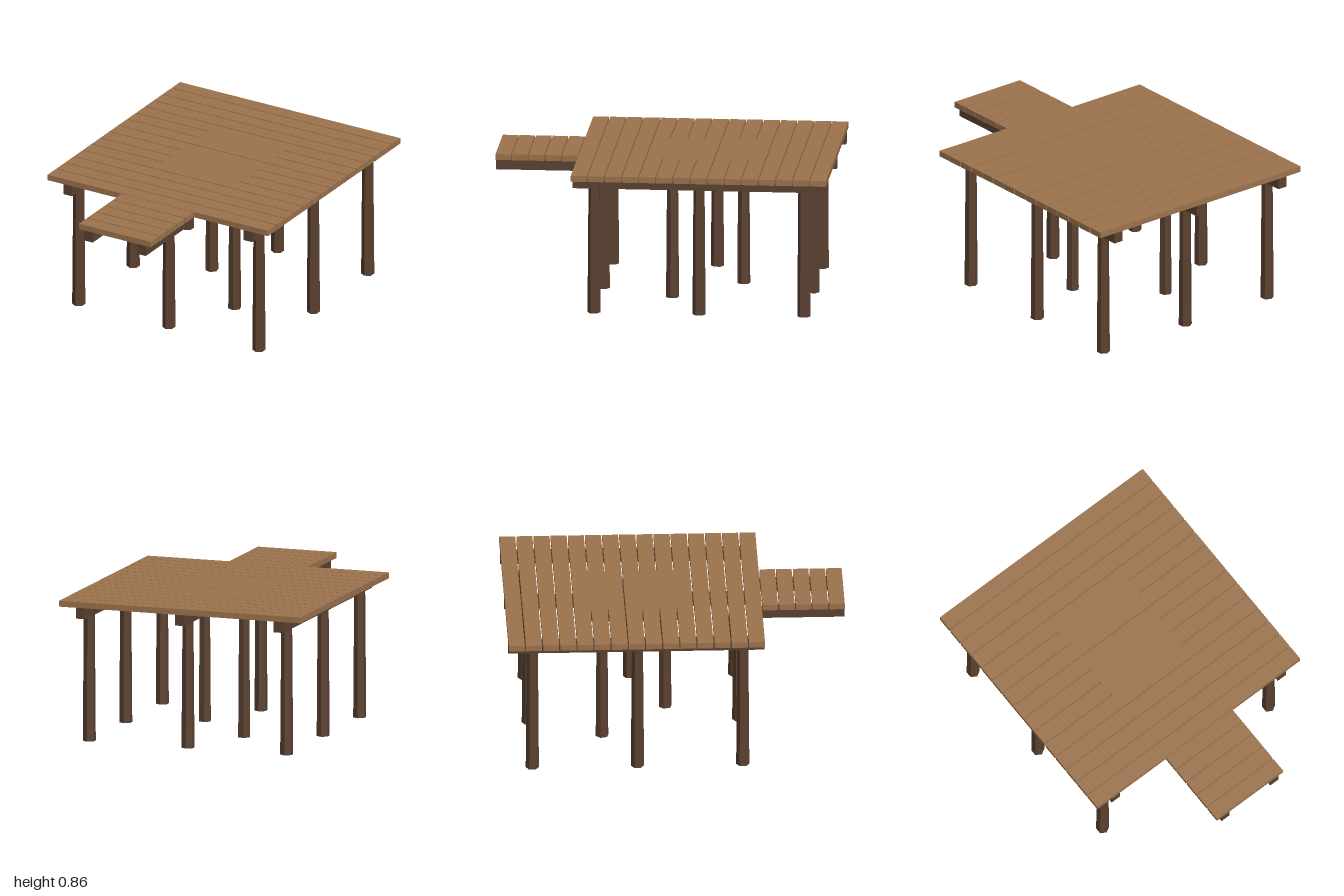
import * as THREE from 'three';

export function createModel() {
  const model = new THREE.Group();
  const plankWood = new THREE.MeshStandardMaterial({ color: 0x9c734d });
  plankWood.name = 'plank wood';
  const darkWood = new THREE.MeshStandardMaterial({ color: 0x5b4130 });
  darkWood.name = 'dark wood';

  const DECK_Y = 0.82, TOP_Y = 0.855, BEAM_Y = 0.755;
  const GAP = 0.007;

  // Box given by its extents on each axis
  function box(name, material, x0, x1, y0, y1, z0, z1) {
    const mesh = new THREE.Mesh(new THREE.BoxGeometry(x1 - x0, y1 - y0, z1 - z0), material);
    mesh.position.set((x0 + x1) / 2, (y0 + y1) / 2, (z0 + z1) / 2);
    mesh.name = name;
    model.add(mesh);
  }
  const plank = (name, x0, x1, z0, z1) => box(name, plankWood, x0, x1, DECK_Y, TOP_Y, z0, z1);
  const beam = (name, x, z0, z1) => box(name, darkWood, x - 0.03, x + 0.03, BEAM_Y, DECK_Y, z0, z1);

  // Main deck: 15 rows, the middle rows split around a solid centre
  const half = 0.758, inner = 0.26, back = -1, rows = 15;
  const pitch = (1.51 + GAP) / rows;
  const rowStart = (i) => back + i * pitch;
  const rowEnd = (i) => rowStart(i) + pitch - GAP;
  for (let i = 0; i < rows; i++) {
    if (i >= 4 && i <= 10) {
      plank('deckPlankRight', -half, -inner, rowStart(i), rowEnd(i));
      plank('deckPlankLeft', inner, half, rowStart(i), rowEnd(i));
    } else {
      plank('deckPlank', -half, half, rowStart(i), rowEnd(i));
    }
  }
  plank('centrePanelBack', -inner, inner, rowStart(4), rowEnd(6));
  plank('centrePanelFront', -inner, inner, rowStart(7), rowEnd(10));

  // Narrow walkway at the front
  const walkStart = 0.515, walkPitch = (1 - walkStart + GAP) / 5;
  for (let i = 0; i < 5; i++) {
    const z = walkStart + i * walkPitch;
    plank('walkwayPlank', -0.247, 0.247, z, z + walkPitch - GAP);
  }

  // Beams under deck, centre panel and walkway
  for (const x of [-0.62, 0, 0.62]) beam('deckBeam', x, -1, 0.51);
  for (const s of [-1, 1]) {
    beam('centreBeam', s * 0.195, -0.53, 0.04);
    beam('walkwayBeam', s * 0.182, 0.515, 1);
  }

  // Tapered six-sided posts
  const postGeometry = new THREE.CylinderGeometry(0.033, 0.039, BEAM_Y, 6).toNonIndexed();
  postGeometry.computeVertexNormals();
  function post(name, x, z, turn = 0) {
    const mesh = new THREE.Mesh(postGeometry, darkWood);
    mesh.position.set(x, BEAM_Y / 2, z);
    mesh.rotation.y = turn;
    mesh.name = name;
    model.add(mesh);
  }
  for (const z of [-0.857, 0.384]) {
    for (const x of [-0.62, 0, 0.62]) post('deckPost', x, z);
  }
  for (const x of [-0.62, 0.62]) post('middlePost', x, -0.237);
  post('centrePostLeft', 0.195, -0.043, Math.PI / 12);
  post('centrePostRight', -0.195, -0.43, Math.PI / 12);

  return model;
}
